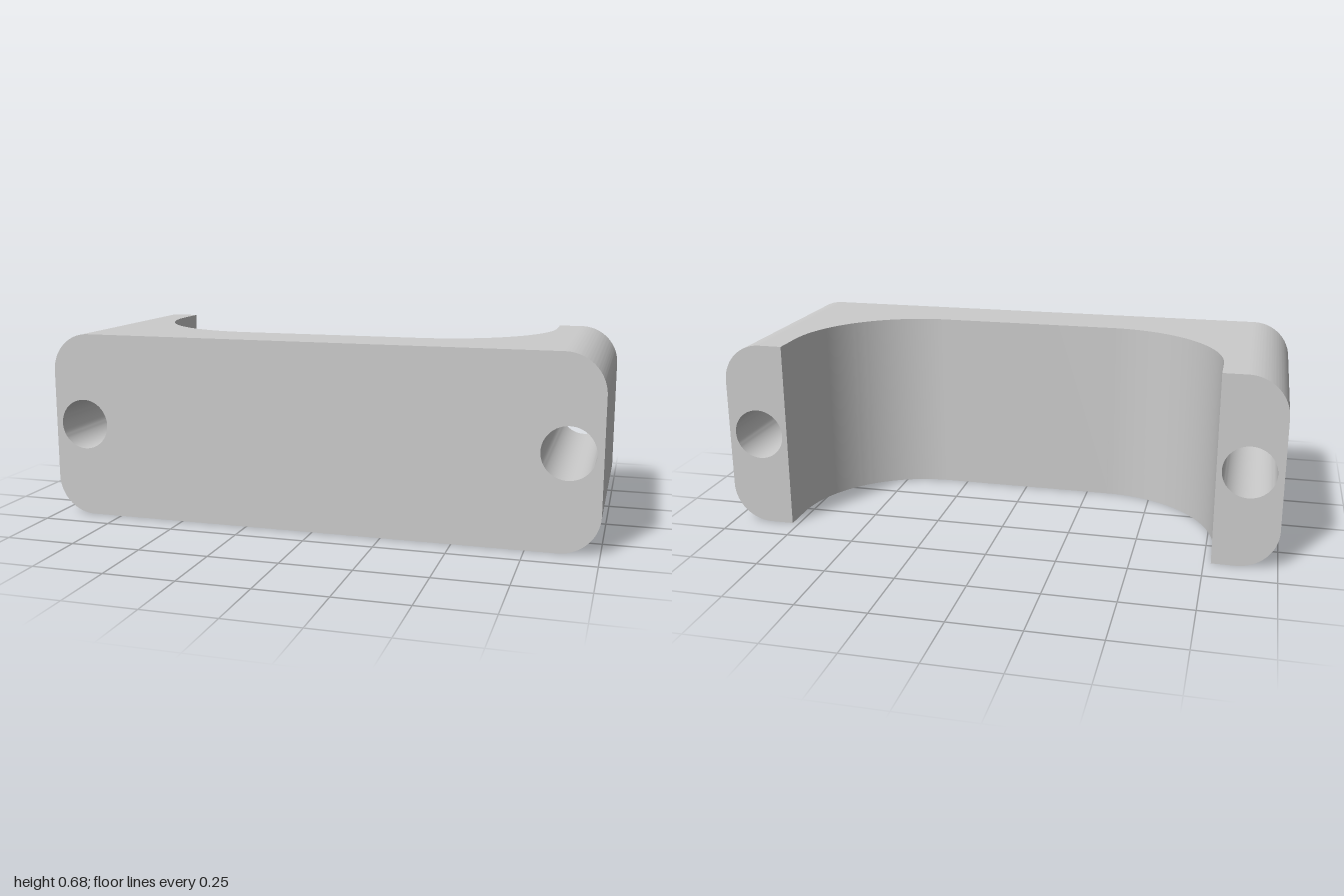
import * as THREE from 'three';
import { toCreasedNormals } from 'three/addons/utils/BufferGeometryUtils.js';

const HEIGHT = 0.68, FRONT = 0.395, DEPTH = 2 * FRONT;
const INNER = 0.775;      // half width of the recess
const FLOOR = 0.168;      // z of the recess floor
const BEND = 0.445;       // radius of the recess corners
const CORNER = 0.14;      // radius of the outer corners

function extrude(shape, depth) {
  return new THREE.ExtrudeGeometry(shape, { depth, bevelEnabled: false, curveSegments: 32 });
}

export function createModel() {
  const group = new THREE.Group();
  group.name = 'mountingBracket';
  const material = new THREE.MeshStandardMaterial({ color: 0xcccccc });

  const add = (name, geometry) => {
    const mesh = new THREE.Mesh(toCreasedNormals(geometry, Math.PI / 6), material);
    mesh.name = name;
    group.add(mesh);
    return mesh;
  };

  // End block: rounded outer corners and a screw hole, extruded front to back
  const end = new THREE.Shape();
  end.moveTo(INNER, 0);
  end.lineTo(1 - CORNER, 0);
  end.absarc(1 - CORNER, CORNER, CORNER, -Math.PI / 2, 0, false);
  end.absarc(1 - CORNER, HEIGHT - CORNER, CORNER, 0, Math.PI / 2, false);
  end.lineTo(INNER, HEIGHT);
  end.closePath();
  const hole = new THREE.Path();
  hole.absarc(0.885, HEIGHT / 2 + 0.003, 0.092, 0, Math.PI * 2, true);
  end.holes.push(hole);

  const endGeometry = extrude(end, DEPTH).translate(0, 0, -FRONT);
  add('leftEndBlock', endGeometry);
  add('rightEndBlock', endGeometry).rotation.y = Math.PI;

  // Bridge: plan outline (x, -z) with the curved recess, extruded upwards
  const plan = new THREE.Shape();
  const bendX = INNER - BEND, bendY = BEND - FLOOR;
  plan.moveTo(-INNER, -FRONT);
  plan.lineTo(INNER, -FRONT);
  plan.lineTo(INNER, bendY);
  plan.absarc(bendX, bendY, BEND, 0, -Math.PI / 2, true);
  plan.absarc(-bendX, bendY, BEND, -Math.PI / 2, -Math.PI, true);
  plan.closePath();
  add('bridge', extrude(plan, HEIGHT).rotateX(-Math.PI / 2));

  return group;
}
